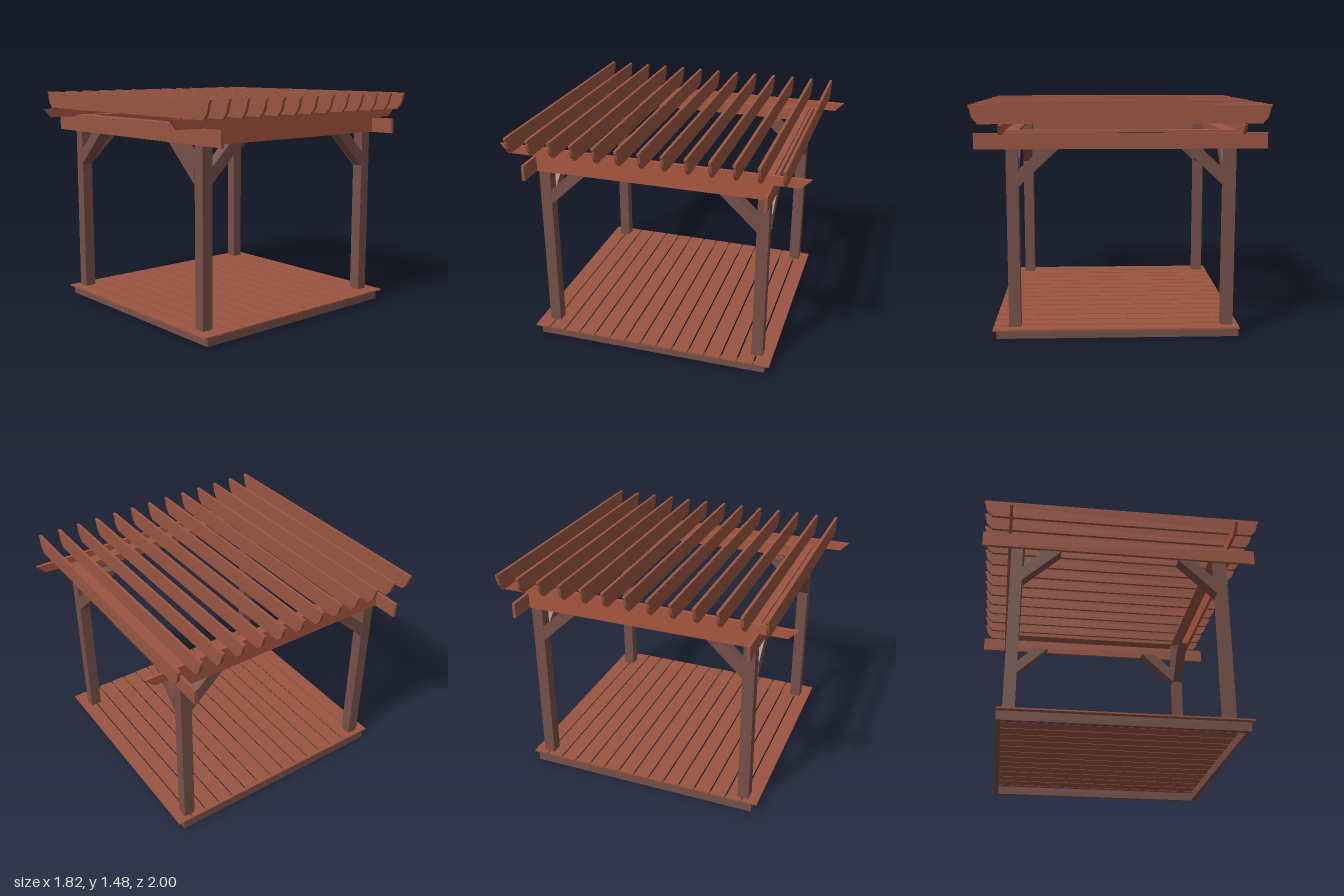
import * as THREE from 'three';

const mat = (color) => new THREE.MeshStandardMaterial({ color, roughness: 0.9, flatShading: true });

export function createModel() {
  const model = new THREE.Group();
  const red = mat(0x9a5541), orange = mat(0xa85740), brown = mat(0x765048);

  const add = (name, geometry, material) => {
    const mesh = new THREE.Mesh(geometry, material);
    mesh.name = name;
    model.add(mesh);
    return mesh;
  };
  // box given by its extents on each axis
  const box = (name, [x0, x1], [y0, y1], [z0, z1], material) => {
    add(name, new THREE.BoxGeometry(x1 - x0, y1 - y0, z1 - z0), material)
      .position.set((x0 + x1) / 2, (y0 + y1) / 2, (z0 + z1) / 2);
  };
  // outline extruded and centred on its own thickness
  const slab = (shape, depth) => new THREE.ExtrudeGeometry(shape, { depth, bevelEnabled: false, curveSegments: 5 })
    .translate(0, 0, -depth / 2);
  const outline = (points) => new THREE.Shape(points.map(([x, y]) => new THREE.Vector2(x, y)));

  // deck frame: four edge boards
  for (const [z0, z1] of [[-0.79, -0.76], [0.75, 0.78]]) box('deckFrameBoard', [-0.76, 0.78], [0, 0.058], [z0, z1], brown);
  for (const [x0, x1] of [[-0.76, -0.73], [0.75, 0.78]]) box('deckFrameSide', [x0, x1], [0, 0.058], [-0.76, 0.75], brown);

  // deck planks with narrow gaps
  const planks = 15, pitch = 1.65 / planks;
  for (let i = 0; i < planks; i++) {
    const z = -0.83 + i * pitch;
    box('deckPlank', [-0.76, 0.80], [0.058, 0.068], [z + 0.005, z + pitch - 0.005], red);
  }

  // posts, each with two diagonal braces
  const brace = outline([[0, 0.965], [0.25, 1.2], [0.14, 1.2], [0, 1.065]]);
  for (const sx of [-1, 1]) for (const sz of [-1, 1]) {
    const x = -0.012 + sx * 0.675, z = -0.006 + sz * 0.718, half = 0.0375;
    box('post', [x - half, x + half], [0.06, 1.3], [z - half, z + half], brown);

    const across = add('braceAcross', slab(brace, 0.085), brown);
    across.position.set(x - sx * half, 0, z);
    across.rotation.y = sx > 0 ? Math.PI : 0;

    const along = add('braceAlong', slab(brace, 0.07), brown);
    along.position.set(x, 0, z - sz * half);
    along.rotation.y = sz > 0 ? Math.PI / 2 : -Math.PI / 2;
  }

  // beams across the front and back
  for (const [z0, z1] of [[-0.782, -0.761], [0.75, 0.77]]) box('crossBeam', [-0.913, 0.893], [1.2, 1.3], [z0, z1], red);

  // side beams, notched over the cross beams and cut at a slant
  const sideBeam = outline([
    [-1, 1.36], [-0.995, 1.355], [-0.94, 1.301], [-0.761, 1.301], [-0.761, 1.2],
    [0.75, 1.2], [0.75, 1.301], [0.945, 1.301], [0.995, 1.355], [1, 1.36],
  ]);
  for (const x of [-0.736, 0.714]) {
    const beam = add('sideBeam', slab(sideBeam, 0.02), orange);
    beam.rotation.y = -Math.PI / 2;
    beam.position.x = x;
  }

  // thin top plate lying on the posts
  const plate = outline([[-0.725, -0.76], [0.703, -0.76], [0.703, 0.75], [-0.725, 0.75]]);
  plate.holes.push(new THREE.Path([
    [-0.635, -0.675], [-0.635, 0.657], [0.623, 0.657], [0.623, -0.675],
  ].map(([x, y]) => new THREE.Vector2(x, y))));
  const top = add('topPlate', slab(plate, 0.012), red);
  top.rotation.x = Math.PI / 2;
  top.position.y = 1.307;

  // rafters with scooped ends
  const rafter = new THREE.Shape();
  rafter.moveTo(-0.857, 1.36);
  rafter.lineTo(0.857, 1.36);
  rafter.lineTo(0.862, 1.372);
  rafter.quadraticCurveTo(0.895, 1.39, 0.9, 1.452);
  rafter.lineTo(0.909, 1.46);
  rafter.lineTo(0.909, 1.475);
  rafter.lineTo(-0.909, 1.475);
  rafter.lineTo(-0.909, 1.46);
  rafter.lineTo(-0.9, 1.452);
  rafter.quadraticCurveTo(-0.895, 1.39, -0.862, 1.372);
  rafter.closePath();
  const rafterGeometry = slab(rafter, 0.019);
  for (let i = -6; i <= 6; i++) {
    add('rafter', rafterGeometry, red).position.set(-0.003, 0, -0.007 + i * 0.1443);
  }

  return model;
}
